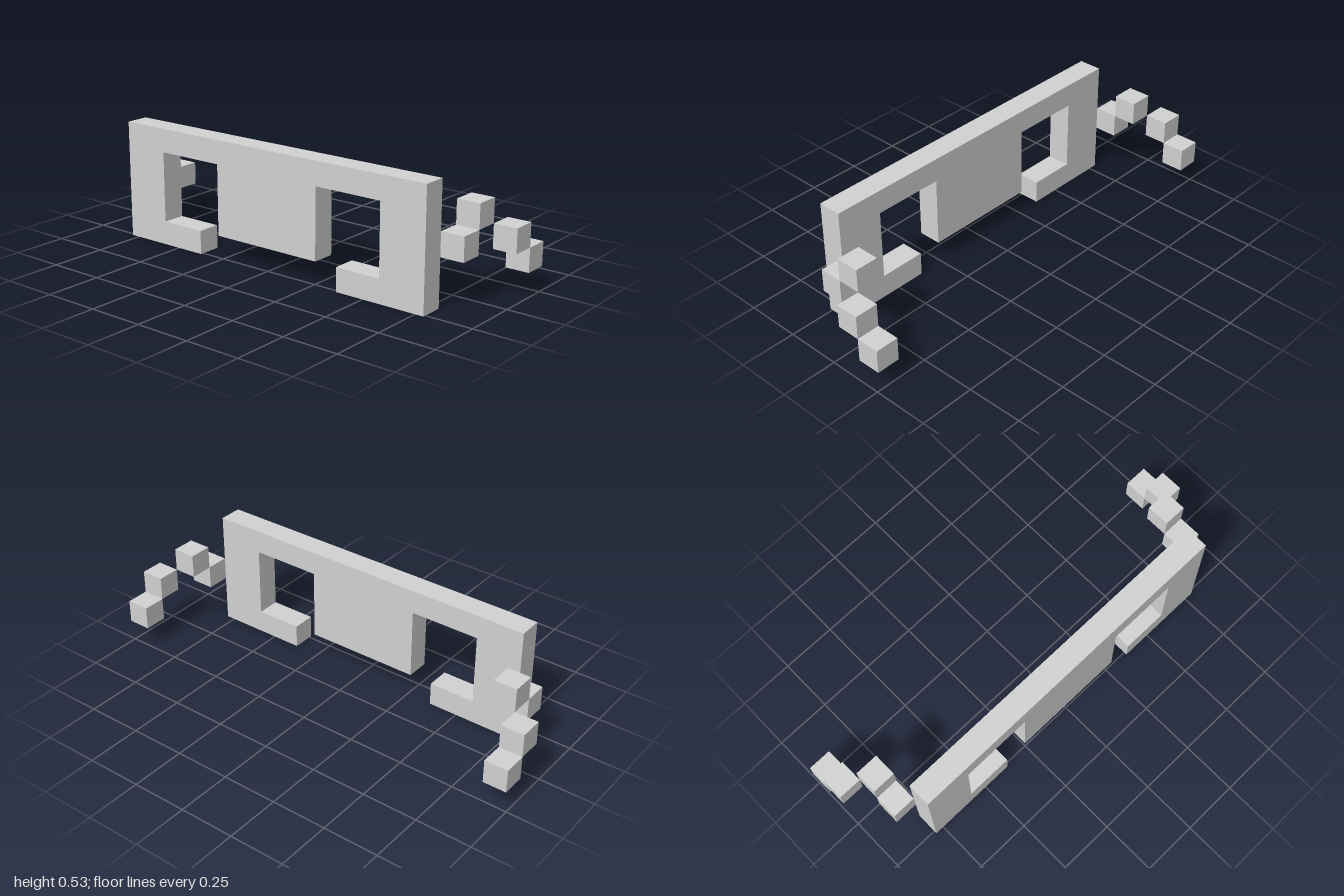
import * as THREE from 'three';

const U = 2 / 19; // one grid cell; the model is 19 cells wide

export function createModel() {
  const model = new THREE.Group();
  const grey = new THREE.MeshStandardMaterial({ color: 0xd2d2d2 });
  grey.name = 'lightGrey';

  // Front panel: one outline with two hooked openings, mirrored about x = 0
  const half = [[2.5, 1], [2.5, 4], [5.5, 4], [5.5, 1], [3.5, 1], [3.5, 0], [7.5, 0], [7.5, 5]];
  const mirrored = half.map(([x, y]) => [-x, y]).reverse();
  const outline = [...half, ...mirrored].map(([x, y]) => new THREE.Vector2(x * U, y * U));
  const panelGeometry = new THREE.ExtrudeGeometry(new THREE.Shape(outline), {
    depth: U,
    bevelEnabled: false,
  });
  const panel = new THREE.Mesh(panelGeometry, grey);
  panel.name = 'frontPanel';
  panel.position.z = 1.5 * U;
  model.add(panel);

  // Side arms: cubes stepping up, then out and down towards the back
  const cube = new THREE.BoxGeometry(U, U, U);
  const steps = [[8, 2.5, 1], [8, 3.5, 0], [9, 2.5, -1], [9, 1.5, -2]];
  for (const [side, name] of [[1, 'leftArm'], [-1, 'rightArm']]) {
    const arm = new THREE.Group();
    arm.name = name;
    steps.forEach(([x, y, z], i) => {
      const block = new THREE.Mesh(cube, grey);
      block.name = `${name}Block${i + 1}`;
      block.position.set(side * x * U, y * U, z * U);
      arm.add(block);
    });
    model.add(arm);
  }

  return model;
}
